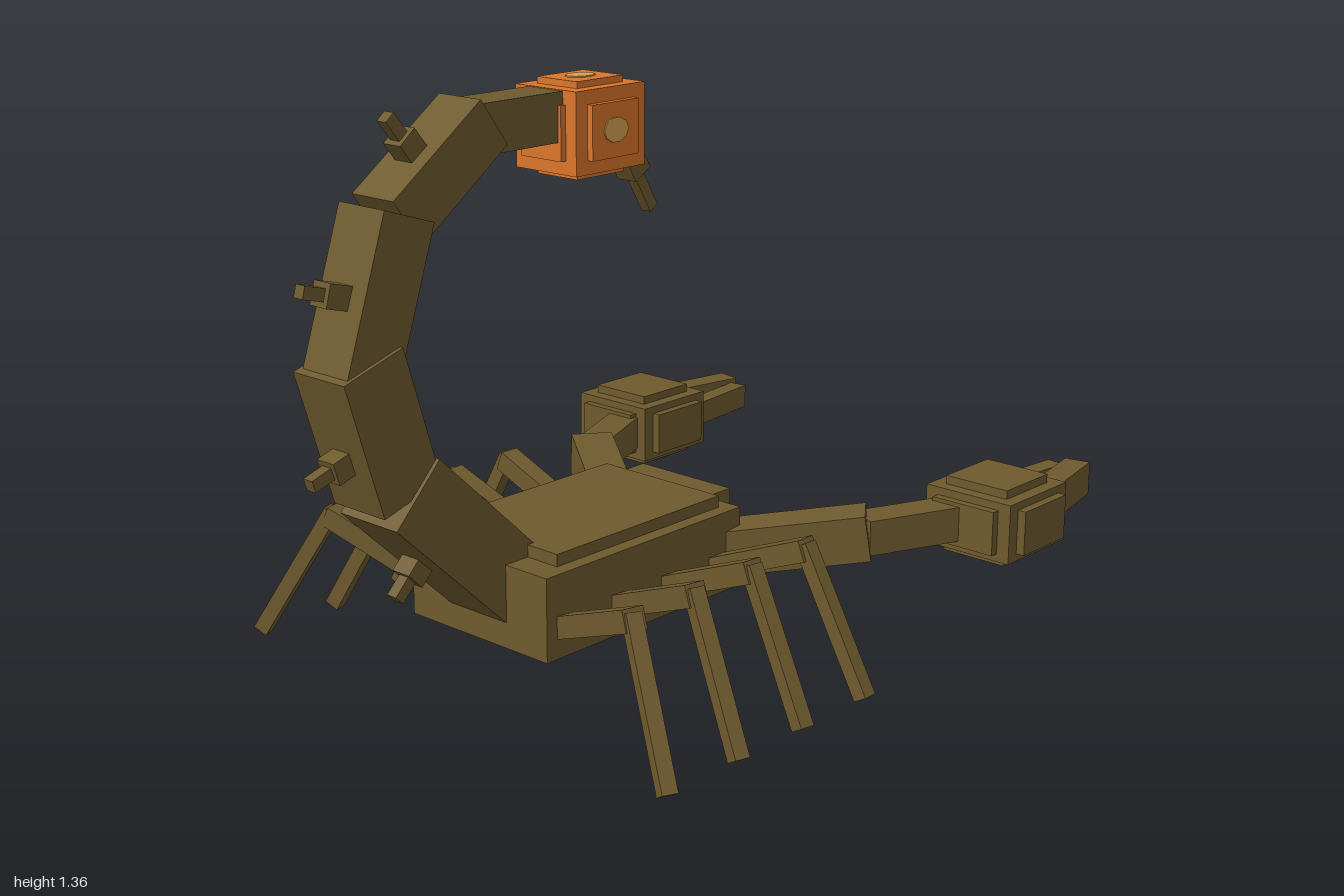
import * as THREE from 'three';

const mat = (name, color) => {
  const m = new THREE.MeshStandardMaterial({ color });
  m.name = name;
  return m;
};

export function createModel() {
  const shell = mat('olive shell', 0x6e5a2e);
  const venom = mat('orange venom', 0xdb762b);
  const glow = mat('pale amber', 0xd9a253);
  const model = new THREE.Group();
  model.name = 'scorpion';

  const group = (name, parent = model) => {
    const g = new THREE.Group();
    g.name = name;
    parent.add(g);
    return g;
  };

  const box = (parent, name, size, pos, material = shell) => {
    const m = new THREE.Mesh(new THREE.BoxGeometry(...size), material);
    m.name = name;
    m.position.set(...pos);
    parent.add(m);
    return m;
  };

  // Box stretched from point a to point b
  const beam = (parent, name, a, b, width, height) => {
    const from = new THREE.Vector3(...a), to = new THREE.Vector3(...b);
    const m = box(parent, name, [width, height, from.distanceTo(to)], from.clone().add(to).multiplyScalar(0.5).toArray());
    m.quaternion.setFromUnitVectors(new THREE.Vector3(0, 0, 1), to.clone().sub(from).normalize());
    const aim = new THREE.Matrix4().lookAt(to, from, new THREE.Vector3(0, 1, 0));
    m.quaternion.setFromRotationMatrix(aim);
    return m;
  };

  // Core box with a raised plate on each of its six faces
  const platedBox = (parent, name, core, plate, rise, pos, material) => {
    const g = group(name, parent);
    g.position.set(...pos);
    box(g, name + 'Core', core, [0, 0, 0], material);
    for (let axis = 0; axis < 3; axis++) {
      const size = [...plate];
      size[axis] = core[axis] + 2 * rise;
      box(g, name + 'Plates', size, [0, 0, 0], material);
    }
    return g;
  };

  // Body, back plate and head
  const body = group('body');
  box(body, 'trunk', [0.43, 0.195, 0.64], [0, 0.242, 0.215]);
  box(body, 'backPlate', [0.36, 0.04, 0.535], [0, 0.348, 0.2]);
  box(body, 'head', [0.28, 0.125, 0.1], [0, 0.293, -0.106]);
  for (const s of [1, -1]) box(body, 'eye', [0.055, 0.06, 0.009], [s * 0.085, 0.308, -0.16], glow);

  // Tail segments: start z, y, end z, y, width, height
  const tail = group('tail');
  [
    [0.475, 0.27, 0.78, 0.56, 0.18, 0.178],
    [0.785, 0.55, 0.88, 0.855, 0.16, 0.165],
    [0.877, 0.807, 0.765, 1.144, 0.14, 0.14],
    [0.765, 1.127, 0.52, 1.305, 0.127, 0.127],
    [0.56, 1.29, 0.2, 1.29, 0.106, 0.11],
  ].forEach(([z1, y1, z2, y2, w, h]) => beam(tail, 'tailSegment', [0, y1, z1], [0, y2, z2], w, h));

  // Stepped spines along the outside of the tail: base z, y, tip z, y
  [
    [0.68, 0.4, 0.775, 0.305],
    [0.86, 0.655, 0.992, 0.613],
    [0.86, 0.98, 0.998, 1.018],
    [0.67, 1.225, 0.762, 1.338],
  ].forEach(([z1, y1, z2, y2]) => {
    const mid = [0, y1 + (y2 - y1) * 0.62, z1 + (z2 - z1) * 0.62];
    beam(tail, 'spineBase', [0, y1, z1], mid, 0.052, 0.052);
    beam(tail, 'spineTip', mid, [0, y2, z2], 0.028, 0.028);
  });

  // Venom bulb with an oval glowing spot on every face
  const bulb = platedBox(tail, 'bulb', [0.184, 0.184, 0.216], [0.122, 0.122, 0.145], 0.015, [0, 1.255, 0.2], venom);
  const spot = (size, rotation) => {
    const m = new THREE.Mesh(new THREE.CylinderGeometry(1, 1, 1, 10), glow);
    m.name = 'glowSpot';
    m.scale.set(...size);
    m.rotation.set(...rotation);
    bulb.add(m);
  };
  spot([0.028, 0.22, 0.038], [0, 0, 0]);
  spot([0.028, 0.22, 0.038], [0, 0, Math.PI / 2]);
  spot([0.028, 0.252, 0.028], [Math.PI / 2, 0, 0]);

  // Sting
  beam(tail, 'stingBase', [0, 1.25, 0.102], [0, 1.123, 0.027], 0.056, 0.056);
  beam(tail, 'stingTip', [0, 1.123, 0.027], [0, 1.036, -0.025], 0.028, 0.028);

  for (const s of [1, -1]) {
    const side = s > 0 ? 'left' : 'right';

    // Four legs on each side: z at hip, knee and foot
    [
      [-0.022, -0.022, -0.022],
      [0.14, 0.165, 0.197],
      [0.3, 0.355, 0.41],
      [0.47, 0.548, 0.632],
    ].forEach(([hip, knee, foot]) => {
      const leg = group(side + 'Leg');
      beam(leg, 'upperLeg', [s * 0.19, 0.205, hip], [s * 0.485, 0.325, knee], 0.052, 0.05);
      beam(leg, 'lowerLeg', [s * 0.475, 0.335, knee], [s * 0.653, 0.015, foot], 0.036, 0.036);
    });

    // Arm, claw hand and pincer fingers
    const arm = group(side + 'Arm');
    beam(arm, 'upperArm', [s * 0.16, 0.23, -0.08], [s * 0.45, 0.285, -0.292], 0.105, 0.11);
    beam(arm, 'forearm', [s * 0.437, 0.281, -0.28], [s * 0.545, 0.281, -0.54], 0.085, 0.085);
    platedBox(arm, 'hand', [0.238, 0.146, 0.238], [0.172, 0.108, 0.172], 0.021, [s * 0.578, 0.279, -0.627], shell);
    beam(arm, 'outerFinger', [s * 0.63, 0.281, -0.73], [s * 0.577, 0.281, -0.991], 0.065, 0.084);
    beam(arm, 'innerFinger', [s * 0.5, 0.281, -0.73], [s * 0.526, 0.281, -0.972], 0.048, 0.062);
  }
  return model;
}
